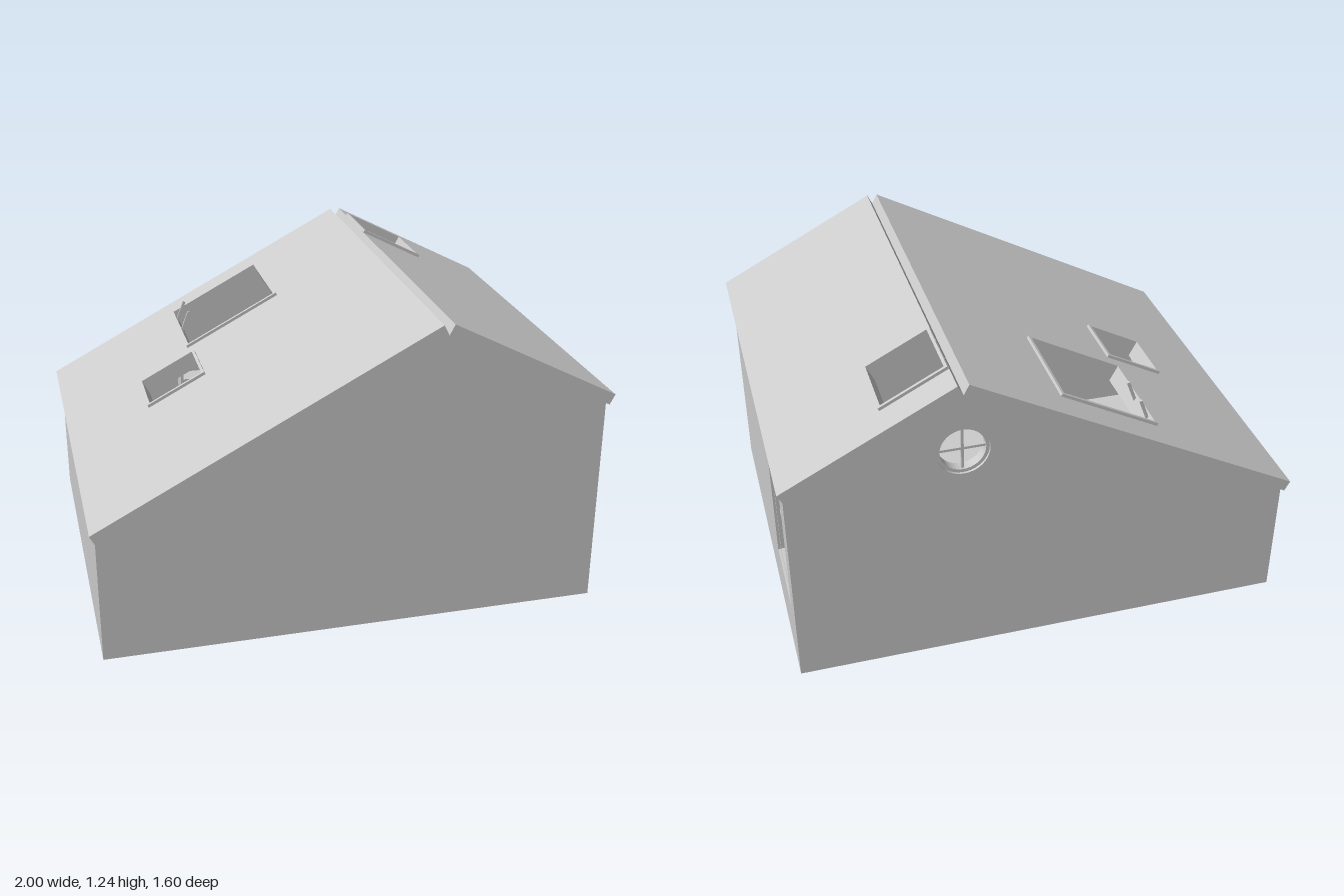
import * as THREE from 'three';

const mat = new THREE.MeshStandardMaterial({ color: 0xcccccc, side: THREE.DoubleSide });
const WALL = 0.06, ROOF = 0.045;
const HX = 0.98, HZ = 0.77, RIDGE = [0.325, 1.19], LEFT = [-HX, 0.505], RIGHT = [HX, 0.85];

function add(parent, name, geo) {
  const m = new THREE.Mesh(geo, mat);
  m.name = name;
  parent.add(m);
  return m;
}
// Box given by its minimum and maximum corners
function box(parent, name, x0, x1, y0, y1, z0, z1) {
  const m = add(parent, name, new THREE.BoxGeometry(x1 - x0, y1 - y0, z1 - z0));
  m.position.set((x0 + x1) / 2, (y0 + y1) / 2, (z0 + z1) / 2);
  return m;
}
const poly = (pts, Type = THREE.Shape) => new Type(pts.map(p => new THREE.Vector2(...p)));
const rectPts = (x0, x1, y0, y1) => [[x0, y0], [x1, y0], [x1, y1], [x0, y1]];
const extrude = (shape, depth) =>
  new THREE.ExtrudeGeometry(shape, { depth, bevelEnabled: false, curveSegments: 24 });

// Round-headed outline, inset evenly on every side
function archPts(cx, y0, spring, r, inset) {
  const pts = [[cx - r + inset, y0 + inset], [cx + r - inset, y0 + inset]];
  for (let i = 0; i <= 24; i++) {
    const a = i / 24 * Math.PI;
    pts.push([cx + (r - inset) * Math.cos(a), spring + (r - inset) * Math.sin(a)]);
  }
  return pts;
}
function circlePts(cx, cy, r) {
  return Array.from({ length: 40 }, (_, i) => {
    const a = i / 40 * Math.PI * 2;
    return [cx + r * Math.cos(a), cy + r * Math.sin(a)];
  });
}
function ring(parent, name, outer, inner, depth) {
  const s = poly(outer);
  s.holes.push(poly(inner, THREE.Path));
  return add(parent, name, extrude(s, depth));
}

// Sloping slab from its underside start to end, with framed openings [x0, x1, z0, z1]
function roofSlope(name, a, b, openings) {
  const g = new THREE.Group();
  g.name = name;
  const len = Math.hypot(b[0] - a[0], b[1] - a[1]);
  const c = (b[0] - a[0]) / len, s = (b[1] - a[1]) / len;
  const slab = poly(rectPts(0, len, -0.8, 0.8));
  const lift = 0.012, top = ROOF + lift;
  for (const [x0, x1, z0, z1] of openings) {
    const u0 = (x0 - a[0] + top * s) / c, u1 = (x1 - a[0] + top * s) / c;
    const rect = i => rectPts(u0 + i, u1 - i, -z1 + i, -z0 - i);
    slab.holes.push(poly(rect(0.006), THREE.Path));
    ring(g, 'skylightFrame', rect(0.007), rect(0.012), top + 0.015).position.z = -0.015;
    ring(g, 'skylightRim', rect(0), rect(0.01), lift).position.z = ROOF;
  }
  add(g, 'roofSlab', extrude(slab, ROOF));
  g.applyMatrix4(new THREE.Matrix4().makeBasis(
    new THREE.Vector3(c, s, 0), new THREE.Vector3(0, 0, -1), new THREE.Vector3(-s, c, 0)
  ).setPosition(a[0], a[1], 0));
  return g;
}

function makeWalls() {
  const g = new THREE.Group();
  g.name = 'walls';
  const gable = () => poly([[-HX, 0], [HX, 0], RIGHT, RIDGE, LEFT]);
  add(g, 'frontGable', extrude(gable(), WALL)).position.z = HZ - WALL;
  const back = gable();
  back.holes.push(poly(circlePts(0.32, 0.93, 0.1), THREE.Path));
  add(g, 'backGable', extrude(back, WALL)).position.z = -HZ;

  const iz = HZ - WALL;
  box(g, 'leftWall', -HX, -HX + WALL, 0, LEFT[1], -iz, iz);
  const side = poly(rectPts(-iz, iz, 0, RIGHT[1]));
  side.holes.push(poly(archPts(0.475, 0.24, 0.655, 0.177, 0), THREE.Path));
  const right = add(g, 'rightWall', extrude(side, WALL));
  right.rotation.y = Math.PI / 2;
  right.position.x = HX - WALL;
  box(g, 'floor', -HX + WALL, HX - WALL, 0, 0.02, -iz, iz);
  return g;
}

function makeWindows() {
  const g = new THREE.Group();
  g.name = 'windows';
  // Arched window in the right wall
  const arch = i => archPts(0.475, 0.24, 0.655, 0.177, i);
  const frame = ring(g, 'archedFrame', arch(0), arch(0.014), 0.035);
  frame.rotation.y = Math.PI / 2;
  frame.position.x = HX - 0.045;
  box(g, 'archedMullion', 0.942, 0.958, 0.25, 0.82, -0.481, -0.469);
  for (const y of [0.445, 0.655])
    box(g, 'archedCrossbar', 0.942, 0.958, y - 0.005, y + 0.005, -0.64, -0.31);
  // Round window in the back gable
  ring(g, 'roundFrame', circlePts(0.32, 0.93, 0.1), circlePts(0.32, 0.93, 0.087), 0.04)
    .position.z = -HZ + 0.01;
  box(g, 'roundMullion', 0.315, 0.325, 0.84, 1.02, -0.752, -0.738);
  box(g, 'roundCrossbar', 0.23, 0.41, 0.925, 0.935, -0.752, -0.738);
  return g;
}

function makeFurniture() {
  const g = new THREE.Group();
  g.name = 'furniture';
  // Long bookcase on the back wall
  for (const y of [0.03, 0.24, 0.36, 0.51, 0.65])
    box(g, 'shelf', -0.45, 0.56, y, y + 0.012, -0.71, -0.615);
  for (const x of [-0.45, -0.11, 0.22, 0.548])
    box(g, 'shelfUpright', x, x + 0.012, 0.02, 0.662, -0.71, -0.613);
  for (let i = 0; i < 24; i++) {
    const x = -0.42 + i * 0.036;
    box(g, 'book', x, x + 0.022, 0.372, 0.44 + 0.02 * (i % 3), -0.7, -0.64);
  }
  // Table with a stack of books and a round lamp
  box(g, 'tableTop', -0.9, -0.285, 0.245, 0.26, -0.465, 0.01);
  for (const x of [-0.89, -0.31]) for (const z of [-0.455, -0.015])
    box(g, 'tableLeg', x, x + 0.015, 0.02, 0.245, z, z + 0.015);
  box(g, 'bookStack', -0.43, -0.36, 0.26, 0.275, -0.415, -0.3);
  box(g, 'bookStack', -0.43, -0.37, 0.275, 0.287, -0.37, -0.31);
  const lamp = add(g, 'lamp', new THREE.CylinderGeometry(0.03, 0.047, 0.06, 24));
  lamp.position.set(-0.51, 0.36, -0.075);
  add(g, 'lampStand', new THREE.CylinderGeometry(0.006, 0.02, 0.1, 12))
    .position.set(-0.51, 0.31, -0.075);
  // Low cabinet with upright books and a globe
  for (const y of [0.03, 0.24, 0.35])
    box(g, 'cabinetShelf', -0.91, -0.8, y, y + 0.01, -0.6, -0.4);
  for (const z of [-0.6, -0.49, -0.41])
    box(g, 'cabinetSide', -0.91, -0.8, 0.02, 0.36, z, z + 0.01);
  for (let i = 0; i < 5; i++)
    box(g, 'cabinetBook', -0.9, -0.82, 0.25, 0.31 + 0.01 * (i % 2), -0.575 + i * 0.015, -0.564 + i * 0.015);
  add(g, 'globe', new THREE.SphereGeometry(0.025, 20, 12)).position.set(-0.85, 0.385, -0.48);
  return g;
}

export function createModel() {
  const model = new THREE.Group();
  model.name = 'house';
  model.add(
    makeWalls(),
    makeWindows(),
    makeFurniture(),
    roofSlope('leftRoof', LEFT, RIDGE, [[-0.475, -0.083, -0.668, -0.235], [-0.69, -0.455, -0.162, 0.096]]),
    roofSlope('rightRoof', RIDGE, RIGHT, [[0.352, 0.608, -0.68, -0.392]])
  );
  // Pair of stays standing up in the large skylight
  for (const z of [-0.6, -0.465]) {
    const stay = box(model, 'skylightStay', -0.447, -0.435, 0.81, 0.908, z - 0.005, z + 0.005);
    stay.rotation.z = -0.36;
  }
  return model;
}
